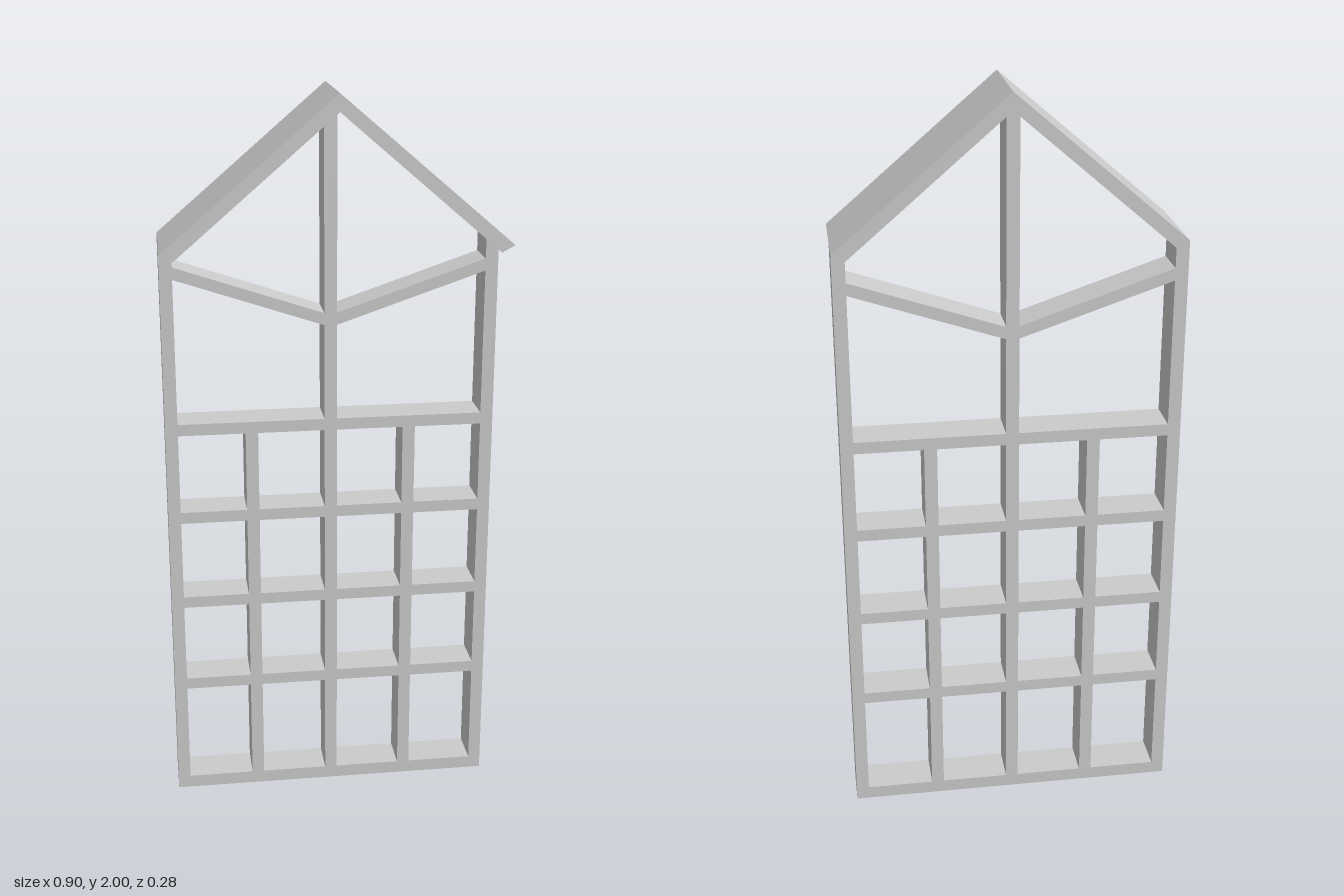
import * as THREE from 'three';

const W = 0.448, T = 0.034, IN = W - T;      // half width, timber thickness, inner half width
const BACK = -0.14, DEPTH = 0.105, ROOF_DEPTH = 0.28;
const EAVE = 1.618, EAVE_IN = 1.6, RIDGE = 2, RIDGE_IN = 1.955;

export function createModel() {
  const model = new THREE.Group();
  const material = new THREE.MeshStandardMaterial({ color: 0xcccccc, flatShading: true });

  // Extrudes an xy outline forward from the back plane
  const add = (name, points, depth = DEPTH) => {
    const shape = new THREE.Shape(points.map(([x, y]) => new THREE.Vector2(x, y)));
    const geometry = new THREE.ExtrudeGeometry(shape, { depth, bevelEnabled: false });
    geometry.translate(0, 0, BACK);
    const mesh = new THREE.Mesh(geometry, material);
    mesh.name = name;
    model.add(mesh);
  };
  const bar = (name, x0, x1, y0, y1) => add(name, [[x0, y0], [x1, y0], [x1, y1], [x0, y1]]);

  // Bottom sill and four shelf rails
  bar('bottomSill', -W, W, 0, 0.036);
  const rails = [0.323, 0.578, 0.832, 1.086];
  rails.forEach((y, i) => bar(`rail${i + 1}`, -IN, IN, y, y + 0.032));

  // Uprights between the rails, three per row
  rails.forEach((top, i) => {
    const bottom = i ? rails[i - 1] + 0.032 : 0.036;
    for (const x of [-0.215, 0, 0.215]) {
      bar(x ? 'divider' : 'centrePost', x - 0.017, x + 0.017, bottom, top);
    }
  });

  // Centre post: up to the brace valley, then on to the ridge
  const slope = (RIDGE_IN - EAVE_IN) / IN, brace = 0.14 / IN, c = 0.017;
  add('centrePost', [[-c, 1.118], [c, 1.118], [c, 1.374 + c * brace], [0, 1.374], [-c, 1.374 + c * brace]]);
  add('upperCentrePost', [[0, 1.407], [c, 1.407 + c * brace], [c, RIDGE_IN - c * slope],
    [0, RIDGE_IN], [-c, RIDGE_IN - c * slope], [-c, 1.407 + c * brace]]);

  // Mirrored side posts, sloping braces and overhanging roof panels
  for (const [side, s] of [['left', 1], ['right', -1]]) {
    add(`${side}SidePost`, [[s * IN, 0.036], [s * W, 0.036], [s * W, EAVE], [s * IN, EAVE_IN]]);
    add(`${side}Brace`, [[0, 1.374], [s * IN, 1.514], [s * IN, 1.547], [0, 1.407]]);
    add(`${side}RoofPanel`, [[0, RIDGE_IN], [s * IN, EAVE_IN], [s * W, EAVE], [0, RIDGE]], ROOF_DEPTH);
  }
  return model;
}
